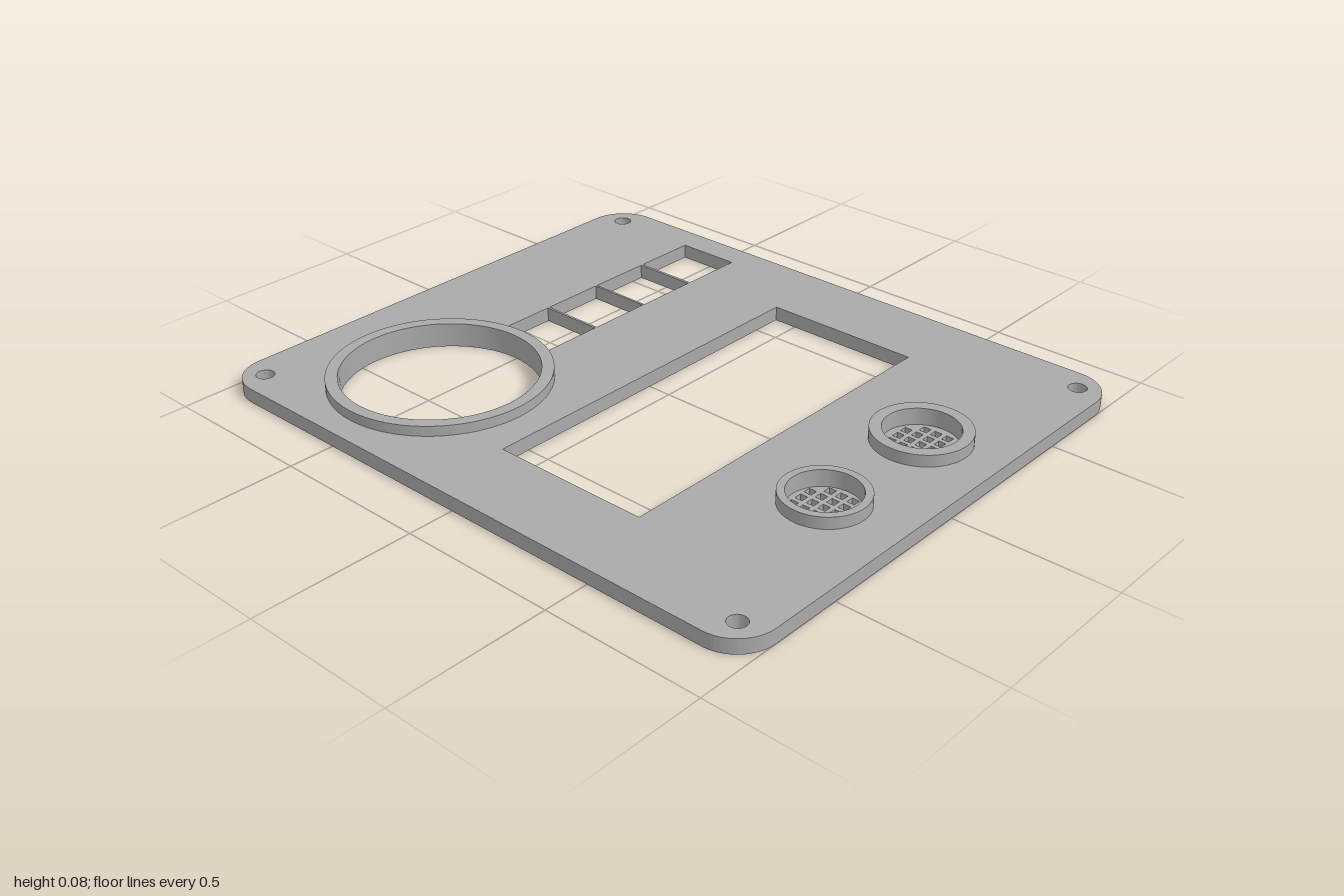
import * as THREE from 'three';
import { toCreasedNormals } from 'three/addons/utils/BufferGeometryUtils.js';

const grey = new THREE.MeshStandardMaterial({ color: 0xaaaaaa });
grey.name = 'panelGrey';

// Outlines are drawn in plan: shape x = model x, shape y = model z.
function circle(x, z, r, Type = THREE.Path) {
  const p = new Type();
  p.absarc(x, z, r, 0, Math.PI * 2, false);
  return p;
}

function rect(x0, z0, x1, z1) {
  return new THREE.Path([[x0, z0], [x1, z0], [x1, z1], [x0, z1]].map(([x, z]) => new THREE.Vector2(x, z))).closePath();
}

function roundedRect(hx, hz, r) {
  const s = new THREE.Shape();
  s.absarc(hx - r, hz - r, r, 0, Math.PI / 2, false);
  s.absarc(-hx + r, hz - r, r, Math.PI / 2, Math.PI, false);
  s.absarc(-hx + r, -hz + r, r, Math.PI, Math.PI * 1.5, false);
  s.absarc(hx - r, -hz + r, r, Math.PI * 1.5, Math.PI * 2, false);
  return s.closePath();
}

// Solid slab standing between two heights
function slab(name, shape, bottom, top, curveSegments = 32) {
  const g = new THREE.ExtrudeGeometry(shape, { depth: top - bottom, bevelEnabled: false, curveSegments });
  g.rotateX(Math.PI / 2).translate(0, top, 0);
  const mesh = new THREE.Mesh(toCreasedNormals(g, 0.6), grey);
  mesh.name = name;
  return mesh;
}

function ring(name, x, z, outer, inner, top) {
  const s = circle(x, z, outer, THREE.Shape);
  s.holes.push(circle(x, z, inner));
  return slab(name, s, 0, top);
}

// Disc pierced by a 5 x 5 grid of square holes without its corners
function grille(name, x, z, r) {
  const s = circle(x, z, r, THREE.Shape);
  const pitch = 0.038, half = 0.012;
  for (let i = -2; i <= 2; i++) {
    for (let j = -2; j <= 2; j++) {
      if (Math.abs(i * j) === 4) continue;
      const cx = x + i * pitch, cz = z + j * pitch;
      s.holes.push(rect(cx - half, cz - half, cx + half, cz + half));
    }
  }
  return slab(name, s, 0.001, 0.03);
}

export function createModel() {
  const model = new THREE.Group();
  model.name = 'controlPanel';

  const dial = { x: -0.441, z: -0.508, outer: 0.336, inner: 0.299 };
  const speakers = [
    { side: 'right', x: -0.221, z: 0.748, outer: 0.128, inner: 0.105 },
    { side: 'left', x: 0.217, z: 0.748, outer: 0.147, inner: 0.112 },
  ];

  // Base plate with all its openings
  const plate = roundedRect(0.855, 1, 0.125);
  for (const x of [-0.771, 0.771]) for (const z of [-0.915, 0.915]) plate.holes.push(circle(x, z, 0.028));
  plate.holes.push(circle(dial.x, dial.z, 0.31));
  plate.holes.push(rect(-0.597, -0.076, 0.597, 0.436));
  for (const [x0, x1] of [[-0.113, 0.104], [0.112, 0.323], [0.33, 0.541], [0.55, 0.762]]) {
    plate.holes.push(rect(x0, -0.613, x1, -0.403));
  }
  for (const s of speakers) plate.holes.push(circle(s.x, s.z, s.inner + 0.01));
  model.add(slab('basePlate', plate, 0, 0.046));

  // Raised collar round the large opening
  model.add(ring('dialCollar', dial.x, dial.z, dial.outer, dial.inner, 0.078));

  // Two speaker collars with sunken grilles
  for (const s of speakers) {
    model.add(ring(s.side + 'SpeakerCollar', s.x, s.z, s.outer, s.inner, 0.083));
    model.add(grille(s.side + 'SpeakerGrille', s.x, s.z, s.inner));
  }
  return model;
}
